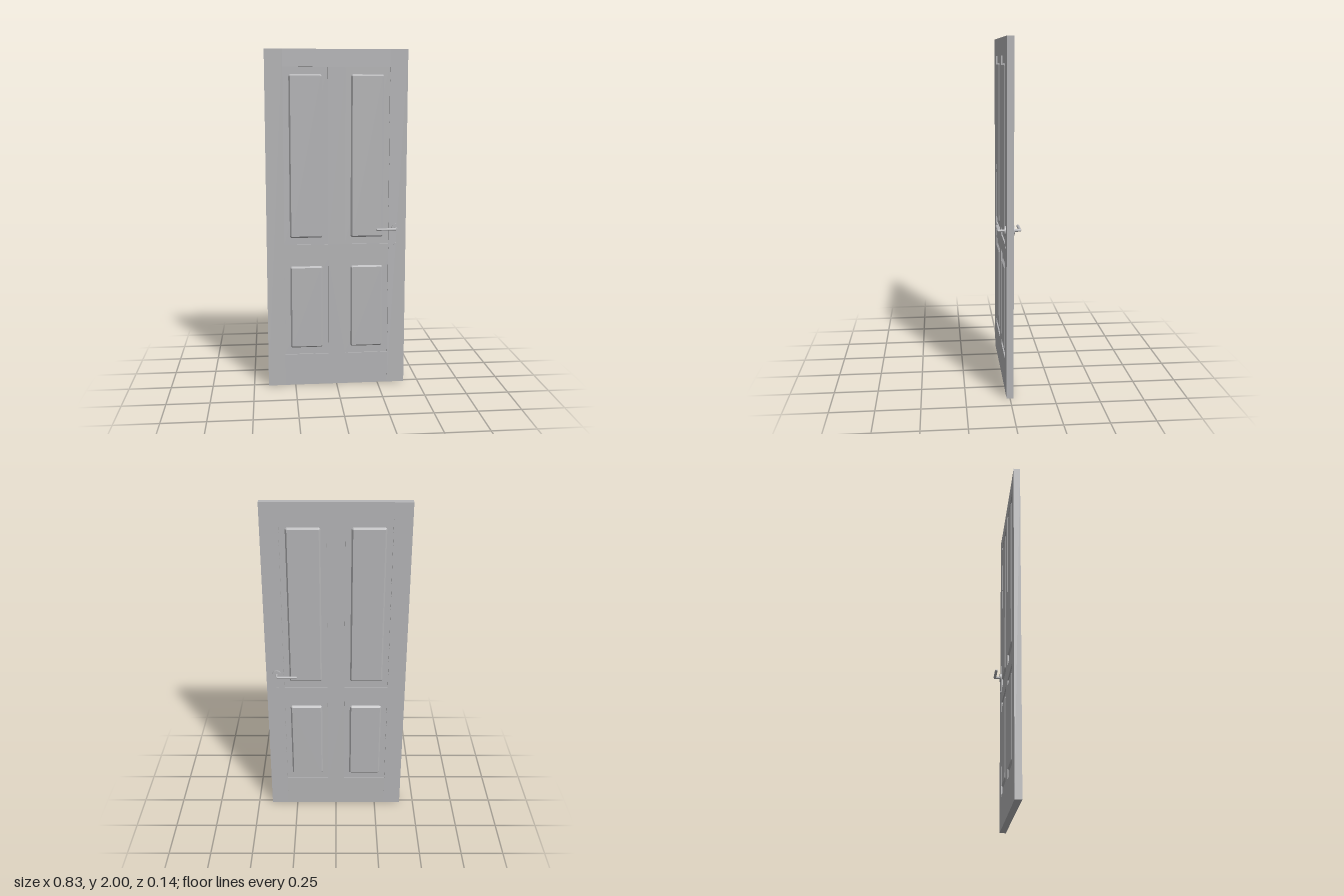
import * as THREE from 'three';

const paint = new THREE.MeshStandardMaterial({ color: 0xb6b6b8 });
paint.name = 'grey';

const STILE_X = 0.31, HALF_W = 0.413, STILE_Z = 0.0195, RAIL_Z = 0.0187, FLOOR_Z = 0.011, FIELD_Z = 0.022;
const HANDLE_X = 0.352, HANDLE_Y = 0.96;

function add(parent, name, geometry, x = 0, y = 0, z = 0) {
  const mesh = new THREE.Mesh(geometry, paint);
  mesh.name = name;
  mesh.position.set(x, y, z);
  parent.add(mesh);
  return mesh;
}

// Rectangle outline, optionally with rounded corners
function rect(target, x0, y0, x1, y1, r = 0) {
  if (!r) {
    target.moveTo(x0, y0).lineTo(x1, y0).lineTo(x1, y1).lineTo(x0, y1).closePath();
    return target;
  }
  target.moveTo(x0 + r, y0).lineTo(x1 - r, y0).quadraticCurveTo(x1, y0, x1, y0 + r);
  target.lineTo(x1, y1 - r).quadraticCurveTo(x1, y1, x1 - r, y1);
  target.lineTo(x0 + r, y1).quadraticCurveTo(x0, y1, x0, y1 - r);
  target.lineTo(x0, y0 + r).quadraticCurveTo(x0, y0, x0 + r, y0);
  return target;
}

// Disc or rod lying along z between z0 and z1
function rod(r, z0, z1, sides = 32) {
  return new THREE.CylinderGeometry(r, r, z1 - z0, sides).rotateX(Math.PI / 2).translate(0, 0, (z0 + z1) / 2);
}

// Handle set for the front; the back is a half turn mirrored in x
function handleSet(back) {
  const g = new THREE.Group();
  g.name = back ? 'backHandle' : 'frontHandle';
  const s = back ? -1 : 1;
  const put = (name, geo, x, y, z = 0) => {
    const m = add(g, name, geo, s * x, y, z);
    return m;
  };
  put('rosette', rod(0.0265, STILE_Z - 0.002, 0.028), HANDLE_X, HANDLE_Y);
  put('spindle', rod(0.0075, 0.025, 0.063, 20), HANDLE_X, HANDLE_Y);
  put('keyhole', rod(0.0095, STILE_Z - 0.002, 0.0225, 20), HANDLE_X, 0.862);
  // Lever with a rounded tip
  const lever = new THREE.CapsuleGeometry(0.0075, 0.108, 8, 20).rotateZ(Math.PI / 2);
  lever.scale(1, 0.95, 1.12);
  put('lever', lever, 0.2905, HANDLE_Y, 0.0595);
  if (back) g.rotation.y = Math.PI;
  return g;
}

export function createModel() {
  const door = new THREE.Group();
  door.name = 'door';

  // Stiles
  for (const s of [-1, 1]) {
    add(door, s < 0 ? 'rightStile' : 'leftStile',
      new THREE.BoxGeometry(HALF_W - STILE_X, 2, STILE_Z * 2), s * (HALF_W + STILE_X) / 2, 1, 0);
  }

  // Rails and middle post in one piece, cut out for the panels
  const rows = [
    { hole: [0.193, 0.777], field: [0.234, 0.736] },
    { hole: [0.868, 1.9], field: [0.909, 1.859] },
  ];
  const frame = rect(new THREE.Shape(), -STILE_X, 0, STILE_X, 2);
  for (const s of [-1, 1]) {
    for (const { hole, field } of rows) {
      const cx = s * 0.18;
      const hx0 = s < 0 ? -STILE_X + 0.0005 : 0.05, hx1 = s < 0 ? -0.05 : STILE_X - 0.0005;
      frame.holes.push(rect(new THREE.Path(), hx0, hole[0], hx1, hole[1]));

      // Recessed panel
      add(door, 'recessedPanel',
        new THREE.BoxGeometry(hx1 - hx0, hole[1] - hole[0], FLOOR_Z * 2), cx, (hole[0] + hole[1]) / 2, 0);

      // Raised field, bevelled on both faces
      const b = 0.009, w = 0.096 - b;
      const shape = rect(new THREE.Shape(), cx - w, field[0] + b, cx + w, field[1] - b, 0.004);
      const depth = FLOOR_Z * 2;
      add(door, 'raisedField', new THREE.ExtrudeGeometry(shape, {
        depth, bevelEnabled: true, bevelSize: b, bevelThickness: FIELD_Z - FLOOR_Z, bevelSegments: 1, curveSegments: 4,
      }), 0, 0, -depth / 2);
    }
  }
  add(door, 'railFrame',
    new THREE.ExtrudeGeometry(frame, { depth: RAIL_Z * 2, bevelEnabled: false }), 0, 0, -RAIL_Z);

  door.add(handleSet(false), handleSet(true));
  return door;
}
